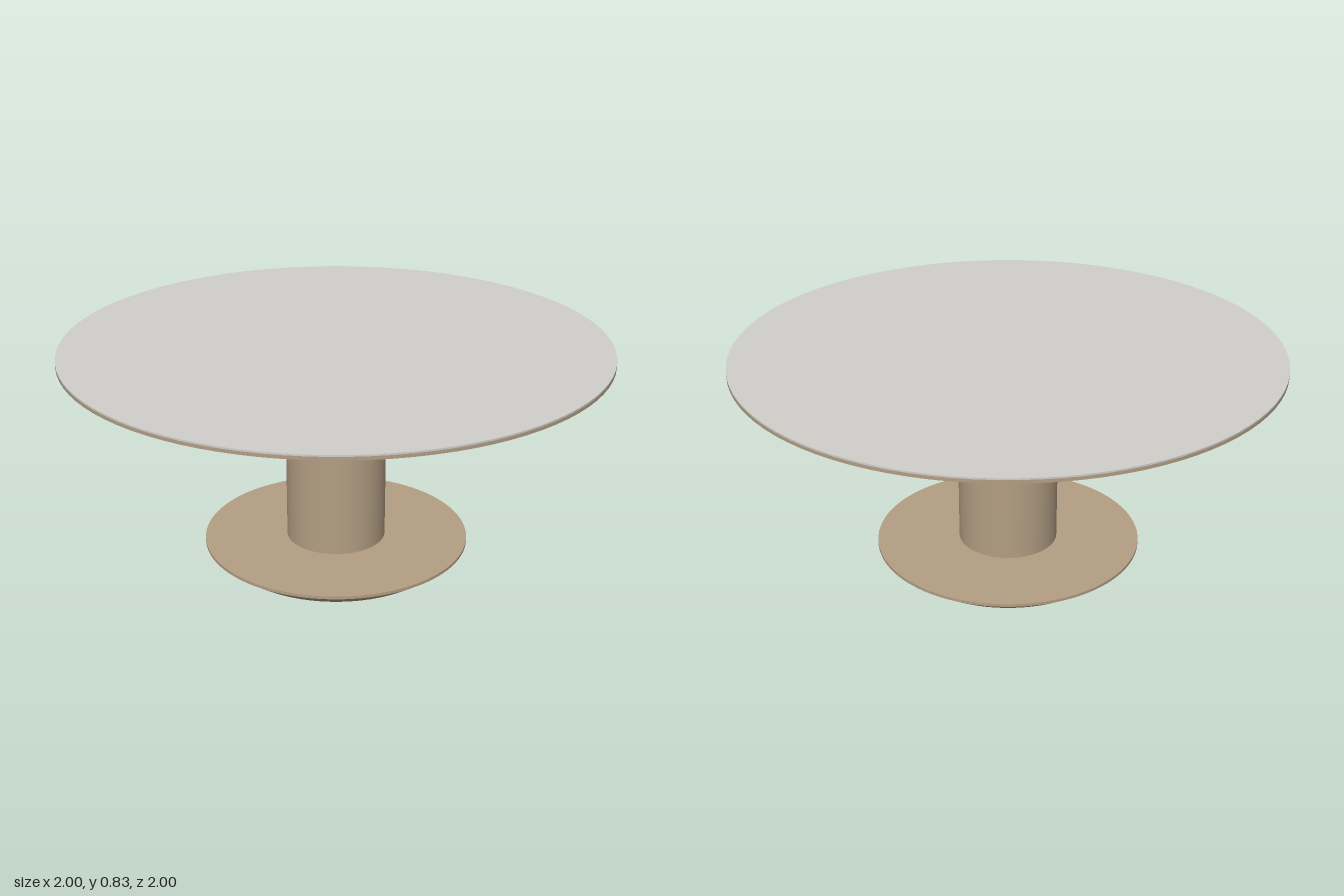
import * as THREE from 'three';
import { mergeGeometries } from 'three/addons/utils/BufferGeometryUtils.js';

// Turned part with crisp edges: each profile segment [radius, y] is its own smooth band
function turned(profile) {
  const bands = [];
  for (let i = 0; i < profile.length - 1; i++) {
    const pts = [profile[i], profile[i + 1]].map(([r, y]) => new THREE.Vector2(r, y));
    bands.push(new THREE.LatheGeometry(pts, 96));
  }
  return mergeGeometries(bands);
}

export function createModel() {
  const wood = new THREE.MeshStandardMaterial({ color: 0xb39e83 });
  wood.name = 'wood';
  const stone = new THREE.MeshStandardMaterial({ color: 0xd0cfcb });
  stone.name = 'pale grey top';

  const table = new THREE.Group();
  table.name = 'pedestalTable';
  const add = (name, material, profile) => {
    const mesh = new THREE.Mesh(turned(profile), material);
    mesh.name = name;
    table.add(mesh);
  };

  // Foot disc with undercut bevel
  add('base', wood, [[0, 0], [0.425, 0], [0.5, 0.054], [0.5, 0.065], [0, 0.065]]);
  // Round column
  add('column', wood, [[0.187, 0.065], [0.187, 0.722]]);
  // Support disc under the top
  add('supportDisc', wood, [[0, 0.722], [0.5, 0.722], [0.5, 0.766]]);
  // Bevelled table top
  add('tableTop', wood, [[0, 0.766], [0.875, 0.766], [1, 0.815], [1, 0.827]]);
  // Thin surface layer
  add('topSurface', stone, [[1, 0.827], [1, 0.833], [0, 0.833]]);

  return table;
}
